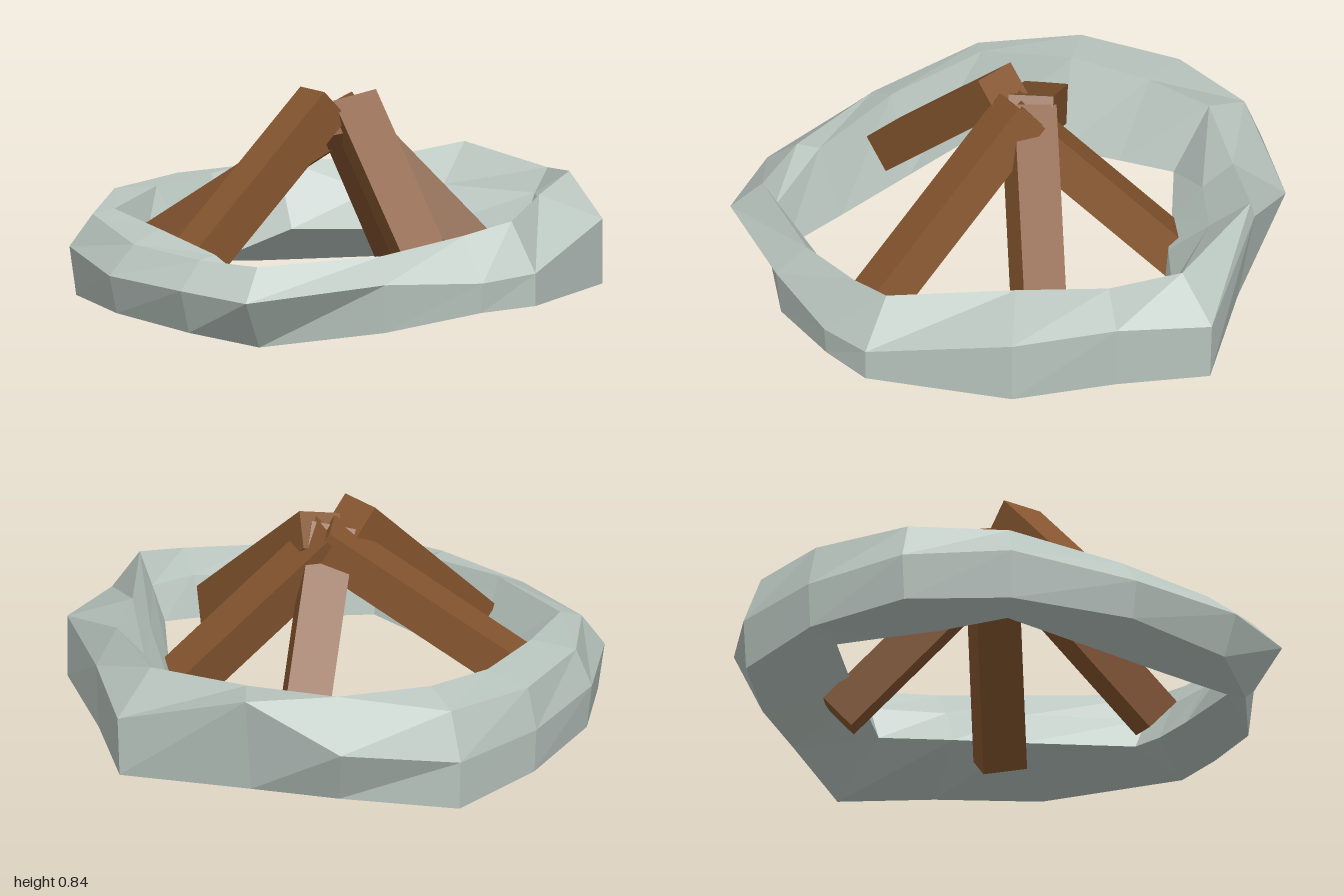
import * as THREE from 'three';

const rad = THREE.MathUtils.degToRad;

// Corners of the five-sided opening: angle (from +x towards +z), radius, height
const OPENING = [[1, 0.73, 0.24], [82, 0.775, 0.18], [143, 0.89, 0.02], [213, 0.79, 0.08], [283, 0.64, 0.22], [361, 0.73, 0.24]];

// Stones around the ring: angle, bottom radius and height, outer radius and height,
// ridge radius and height, inner shoulder height
const STONES = [
  [1, 0.99, 0.08, 1.0, 0.31, 0.84, 0.47, 0.38],
  [22, 0.88, 0.11, 0.89, 0.36, 0.81, 0.5, 0.38],
  [47, 0.95, 0.14, 0.95, 0.38, 0.71, 0.46, 0.35],
  [80, 1.0, 0.13, 1.0, 0.25, 0.87, 0.43, 0.31],
  [93, 0.97, 0.12, 0.98, 0.23, 0.84, 0.39, 0.3],
  [115, 0.95, 0.06, 0.97, 0.24, 0.85, 0.33, 0.24],
  [143, 0.96, 0, 1.1, 0.18, 0.98, 0.3, 0.2],
  [159, 1.0, 0.04, 1.05, 0.2, 0.93, 0.3, 0.31],
  [185, 0.97, 0.06, 1.0, 0.2, 0.9, 0.31, 0.36],
  [213, 1.01, 0.06, 1.035, 0.24, 0.95, 0.36, 0.38],
  [236, 0.99, 0.09, 1.01, 0.26, 0.95, 0.4, 0.42],
  [260, 0.98, 0.08, 0.99, 0.25, 0.95, 0.41, 0.43],
  [282, 1.0, 0.05, 1.01, 0.24, 0.94, 0.42, 0.46],
  [308, 0.85, 0.08, 0.955, 0.3, 0.76, 0.45, 0.35],
  [331, 0.81, 0.08, 0.875, 0.46, 0.86, 0.52, 0.38],
];

// Radius and height on the straight side of the opening at an angle
function openingEdge(deg) {
  const i = OPENING.findIndex((corner) => corner[0] > deg);
  const [d1, r1, y1] = OPENING[i - 1];
  const [d2, r2, y2] = OPENING[i];
  const r = (r1 * r2 * Math.sin(rad(d2 - d1))) / (r1 * Math.sin(rad(deg - d1)) + r2 * Math.sin(rad(d2 - deg)));
  return [r, THREE.MathUtils.mapLinear(deg, d1, d2, y1, y2)];
}

function ringGeometry() {
  const loops = STONES.map(([deg, bottom, bottomY, outer, outerY, ridge, ridgeY, shoulderY]) => {
    const [inner, innerY] = openingEdge(deg);
    const section = [
      [bottom, bottomY],
      [outer, outerY],
      [ridge, ridgeY],
      [(ridge + inner) / 2, shoulderY],
      [inner, innerY],
    ];
    return section.map(([r, y]) => [r * Math.cos(rad(deg)), y, r * Math.sin(rad(deg))]);
  });
  const pos = [];
  loops.forEach((loop, i) => {
    const next = loops[(i + 1) % loops.length];
    for (let j = 0; j < 5; j++) {
      const k = (j + 1) % 5;
      pos.push(...loop[j], ...loop[k], ...next[j], ...loop[k], ...next[k], ...next[j]);
    }
  });
  const geo = new THREE.BufferGeometry();
  geo.setAttribute('position', new THREE.Float32BufferAttribute(pos, 3));
  geo.computeVertexNormals();
  return geo;
}

// Square log running between two points, rolled about its length
function log(name, top, foot, roll, material) {
  const a = new THREE.Vector3(...top);
  const b = new THREE.Vector3(...foot);
  const mesh = new THREE.Mesh(new THREE.BoxGeometry(0.165, 0.145, a.distanceTo(b)), material);
  mesh.name = name;
  mesh.position.copy(a).add(b).multiplyScalar(0.5);
  mesh.lookAt(b);
  mesh.rotateZ(roll);
  return mesh;
}

export function createModel() {
  const group = new THREE.Group();
  group.name = 'campfire';
  const stone = new THREE.MeshStandardMaterial({ color: 0xbac6c0 });
  stone.name = 'grey stone';
  const wood = new THREE.MeshStandardMaterial({ color: 0x86562f });
  wood.name = 'brown wood';

  // Faceted stone ring
  const ring = new THREE.Mesh(ringGeometry(), stone);
  ring.name = 'stoneRing';
  group.add(ring);

  // Five logs leaning together
  const logs = [
    ['leftLog', [-0.12, 0.785, 0], [-0.71, 0.21, 0], 0],
    ['frontLog', [0.0, 0.76, 0.02], [-0.08, 0.2, 0.68], 0.3],
    ['backLeftLog', [0.02, 0.74, 0.0], [-0.5, 0.22, -0.58], 0],
    ['backRightLog', [-0.06, 0.73, 0.04], [0.46, 0.12, -0.37], -0.3],
    ['frontRightLog', [-0.02, 0.74, -0.03], [0.45, 0.12, 0.36], -0.3],
  ];
  for (const [name, top, foot, roll] of logs) group.add(log(name, top, foot, roll, wood));
  return group;
}
